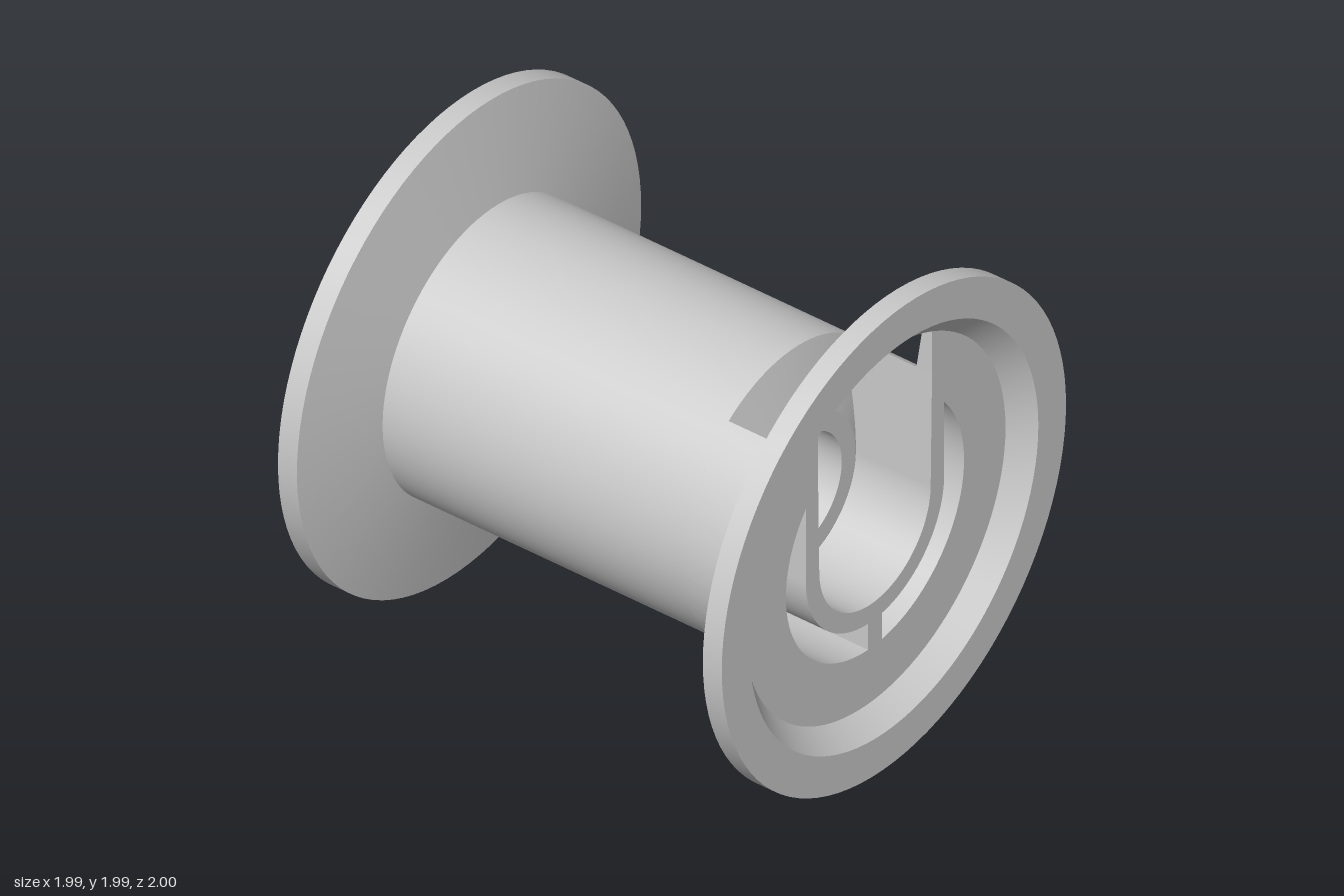
import * as THREE from 'three';
import { toCreasedNormals } from 'three/addons/utils/BufferGeometryUtils.js';

const SEG = 96;
const SLOT = 0.33; // half width of the slot
const material = new THREE.MeshStandardMaterial({ color: 0xcccccc, side: THREE.DoubleSide });

function addMesh(parent, name, geometry, crease = 0.2) {
  const mesh = new THREE.Mesh(toCreasedNormals(geometry, crease), material);
  mesh.name = name;
  parent.add(mesh);
  return mesh;
}

// Revolve [radius, z] points around the z axis
function revolve(points) {
  const geo = new THREE.LatheGeometry(points.map(([r, z]) => new THREE.Vector2(r, z)), SEG);
  return geo.rotateX(Math.PI / 2);
}

// Revolve around z, leaving a gap with parallel sides at the top
function revolveSlotted(points) {
  const pos = [], index = [];
  for (const [r, z] of points) {
    const gap = Math.asin(SLOT / r);
    for (let j = 0; j <= SEG; j++) {
      const t = gap + (j / SEG) * (2 * Math.PI - 2 * gap);
      pos.push(r * Math.sin(t), r * Math.cos(t), z);
    }
  }
  for (let i = 0; i < points.length - 1; i++) {
    for (let j = 0; j < SEG; j++) {
      const a = i * (SEG + 1) + j, b = a + SEG + 1;
      index.push(a, b, a + 1, b, b + 1, a + 1);
    }
  }
  const geo = new THREE.BufferGeometry();
  geo.setAttribute('position', new THREE.Float32BufferAttribute(pos, 3));
  geo.setIndex(index);
  return geo;
}

function extrude(shape, z0, z1) {
  const geo = new THREE.ExtrudeGeometry(shape, { depth: z1 - z0, bevelEnabled: false, curveSegments: 48 });
  return geo.translate(0, 0, z0);
}

// Opening between the U channel and the barrel wall; side is +1 or -1
function crescent(side) {
  const inner = 0.4, outer = 0.515, rib = 0.04, pts = [];
  const a0 = -Math.acos(rib / inner), b0 = -Math.acos(rib / outer), b1 = Math.acos(inner / outer);
  const arc = (r, from, to) => {
    for (let i = 0; i <= 32; i++) {
      const t = from + (to - from) * i / 32;
      pts.push(new THREE.Vector2(side * r * Math.cos(t), r * Math.sin(t)));
    }
  };
  arc(inner, a0, 0);
  arc(outer, b1, b0);
  return new THREE.Path(pts);
}

export function createModel() {
  const model = new THREE.Group();
  model.name = 'spool';
  const spool = new THREE.Group();
  spool.name = 'spoolBody';
  spool.position.y = 0.995;
  model.add(spool);

  // Hub, rear cavity, rear flange, barrel, partition and front bore
  addMesh(spool, 'barrelAndRearFlange', revolve([
    [0.21, -0.93], [0.21, -1], [0.315, -1], [0.315, 0.43], [0.515, 0.43], [0.515, -0.905],
    [0.755, -0.905], [0.835, -0.99], [0.995, -0.99], [0.995, -0.905], [0.59, -0.835],
    [0.59, 0.515], [0.32, 0.58], [0.24, 0.58], [0.24, -0.4],
  ]));

  // Front flange rim
  addMesh(spool, 'frontRim', revolve([
    [0.755, 0.8735], [0.995, 0.915], [0.995, 1], [0.835, 1], [0.755, 0.915], [0.755, 0.8735],
  ]));

  // Front end of the barrel and flange web, open at the slot
  const web = [[0.59, 0.515], [0.59, 0.845]];
  for (let i = 1; i <= 8; i++) web.push([0.59 + 0.165 * i / 8, 0.845 + 0.0285 * i / 8]);
  web.push([0.755, 0.915], [0.59, 0.915]);
  addMesh(spool, 'slottedFrontWeb', revolveSlotted(web));

  // Side walls of the slot where it cuts the web
  const yIn = Math.sqrt(0.59 ** 2 - SLOT ** 2), yOut = Math.sqrt(0.755 ** 2 - SLOT ** 2);
  for (const side of [-1, 1]) {
    const wall = new THREE.Shape([[0.845, yIn], [0.915, yIn], [0.915, yOut], [0.8735, yOut]]
      .map(([z, y]) => new THREE.Vector2(z, y)));
    addMesh(spool, 'slotSide', new THREE.ShapeGeometry(wall).rotateY(-Math.PI / 2).translate(side * SLOT, 0, 0));
  }

  // Front core: U channel, crescent openings and bottom rib
  const core = new THREE.Shape();
  const corner = Math.atan2(yIn, SLOT);
  core.moveTo(SLOT, yIn);
  core.absarc(0, 0, 0.59, corner, Math.PI - corner, true);
  core.lineTo(-0.322, 0);
  core.absarc(0, 0, 0.322, Math.PI, 2 * Math.PI, false);
  core.lineTo(SLOT, yIn);
  core.holes.push(crescent(1), crescent(-1));
  addMesh(spool, 'channelCore', extrude(core, 0.515, 0.915));

  // Square drive socket inside the hub
  const socket = new THREE.Shape();
  socket.absarc(0, 0, 0.24, 0, 2 * Math.PI, false);
  const h = 0.125;
  socket.holes.push(new THREE.Path([[-h, -h], [-h, h], [h, h], [h, -h]].map(([x, y]) => new THREE.Vector2(x, y))));
  addMesh(spool, 'squareSocket', extrude(socket, -0.93, -0.4));

  // Four ribs between hub and barrel
  for (let i = 0; i < 4; i++) {
    const rib = addMesh(spool, 'rearRib', new THREE.BoxGeometry(0.23, 0.08, 1.335).translate(0.415, 0, -0.2375));
    rib.rotation.z = i * Math.PI / 2;
  }
  return model;
}
